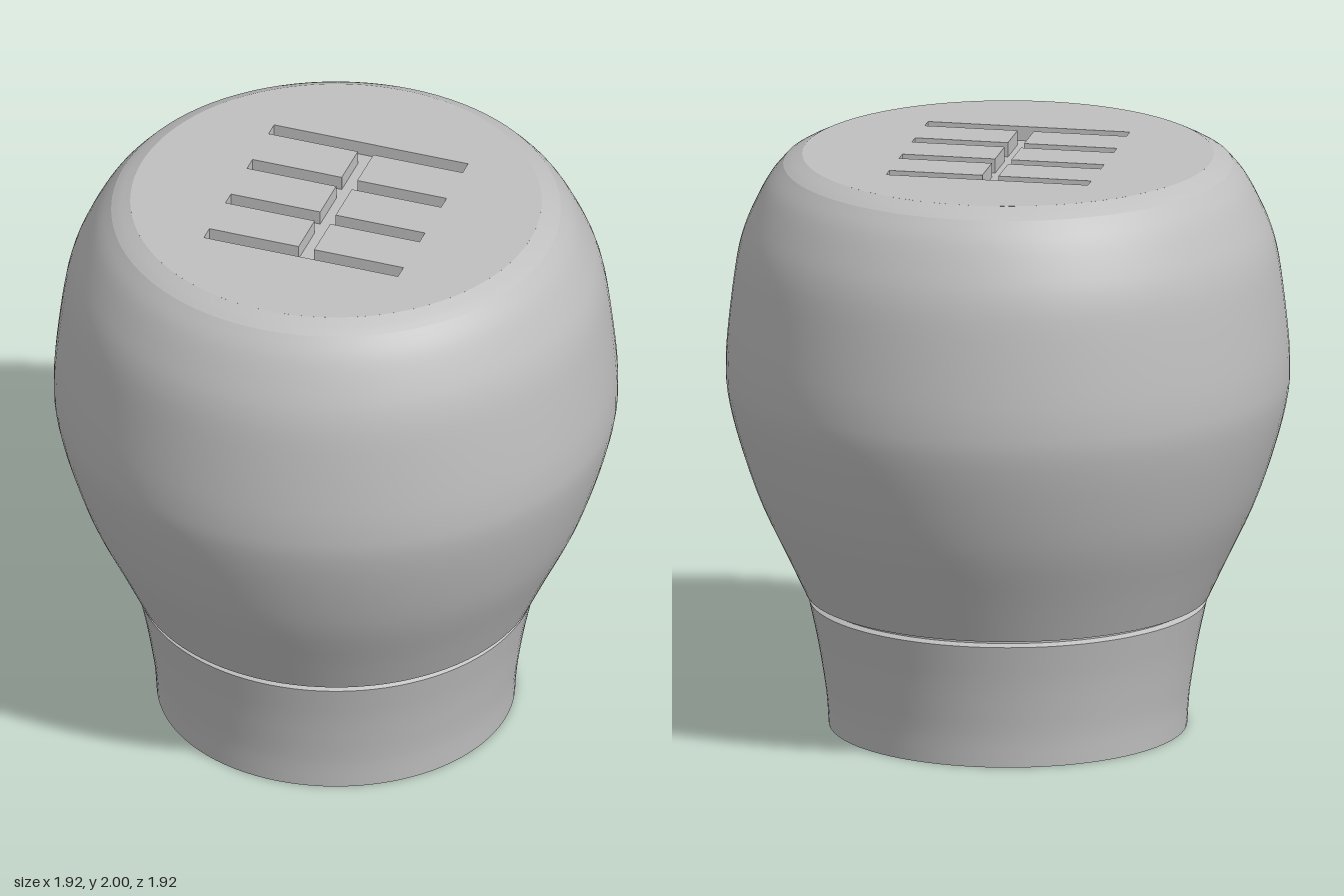
import * as THREE from 'three';

const SEGMENTS = 96;
const TOP = 2, TOP_RADIUS = 0.7, SLOT_DEPTH = 0.05;

export function createModel() {
  const model = new THREE.Group();
  model.name = 'gearKnob';
  const grey = new THREE.MeshStandardMaterial({ color: 0xbfbfbf });
  grey.name = 'satinGrey';

  const add = (name, geometry, parent = model) => {
    const mesh = new THREE.Mesh(geometry, grey);
    mesh.name = name;
    parent.add(mesh);
    return mesh;
  };
  const vectors = (pairs) => pairs.map(([r, y]) => new THREE.Vector2(r, y));
  // smooth surface of revolution through a few profile points
  const smooth = (name, pairs) =>
    add(name, new THREE.LatheGeometry(new THREE.SplineCurve(vectors(pairs)).getPoints(40), SEGMENTS));
  // one straight lathe per segment keeps the edges sharp
  const sharp = (name, pairs) => {
    const group = new THREE.Group();
    group.name = name;
    const points = vectors(pairs);
    for (let i = 0; i < points.length - 1; i++) {
      add(name + 'Face', new THREE.LatheGeometry([points[i], points[i + 1]], SEGMENTS), group);
    }
    model.add(group);
  };

  // shaft bore and flat underside
  sharp('bore', [[0, 1.2], [0.377, 1.2], [0.377, 0], [0.61, 0]]);

  // flared collar, thin groove and bulbous grip
  smooth('collar', [[0.61, 0], [0.617, 0.1], [0.631, 0.2], [0.65, 0.31], [0.678, 0.44]]);
  sharp('groove', [[0.678, 0.44], [0.66, 0.45], [0.66, 0.463], [0.688, 0.463]]);
  smooth('grip', [[0.688, 0.463], [0.752, 0.6], [0.846, 0.8], [0.914, 1], [0.953, 1.16],
    [0.96, 1.27], [0.952, 1.4], [0.928, 1.6], [0.905, 1.71], [0.87, 1.8], [0.818, 1.9], [0.765, 1.965]]);
  smooth('topBevel', [[0.765, 1.965], [0.738, 1.981], [TOP_RADIUS, TOP]]);

  // shift pattern outline: a central stem with four crossbars
  const half = 0.028, reach = 0.35;
  const rightSide = [];
  for (const v of [-0.33, -0.11, 0.11, 0.33]) {
    rightSide.push([half, v - half], [reach, v - half], [reach, v + half], [half, v + half]);
  }
  // the stem corners beyond the end bars are not needed
  const edge = rightSide.slice(1, -1);
  const outline = vectors([...edge, ...edge.slice().reverse().map(([x, y]) => [-x, y])]);

  // top plate with the pattern cut through it
  const disc = new THREE.Shape();
  disc.absarc(0, 0, TOP_RADIUS, 0, Math.PI * 2, false);
  disc.holes.push(new THREE.Path(outline));
  const plate = add('topPlate', new THREE.ExtrudeGeometry(disc, {
    depth: SLOT_DEPTH, bevelEnabled: false, curveSegments: SEGMENTS,
  }));
  plate.rotation.x = -Math.PI / 2;
  plate.position.y = TOP - SLOT_DEPTH;

  // floor of the engraved pattern
  const floor = add('patternFloor', new THREE.ShapeGeometry(new THREE.Shape(outline)));
  floor.rotation.x = -Math.PI / 2;
  floor.position.y = TOP - SLOT_DEPTH;

  return model;
}
